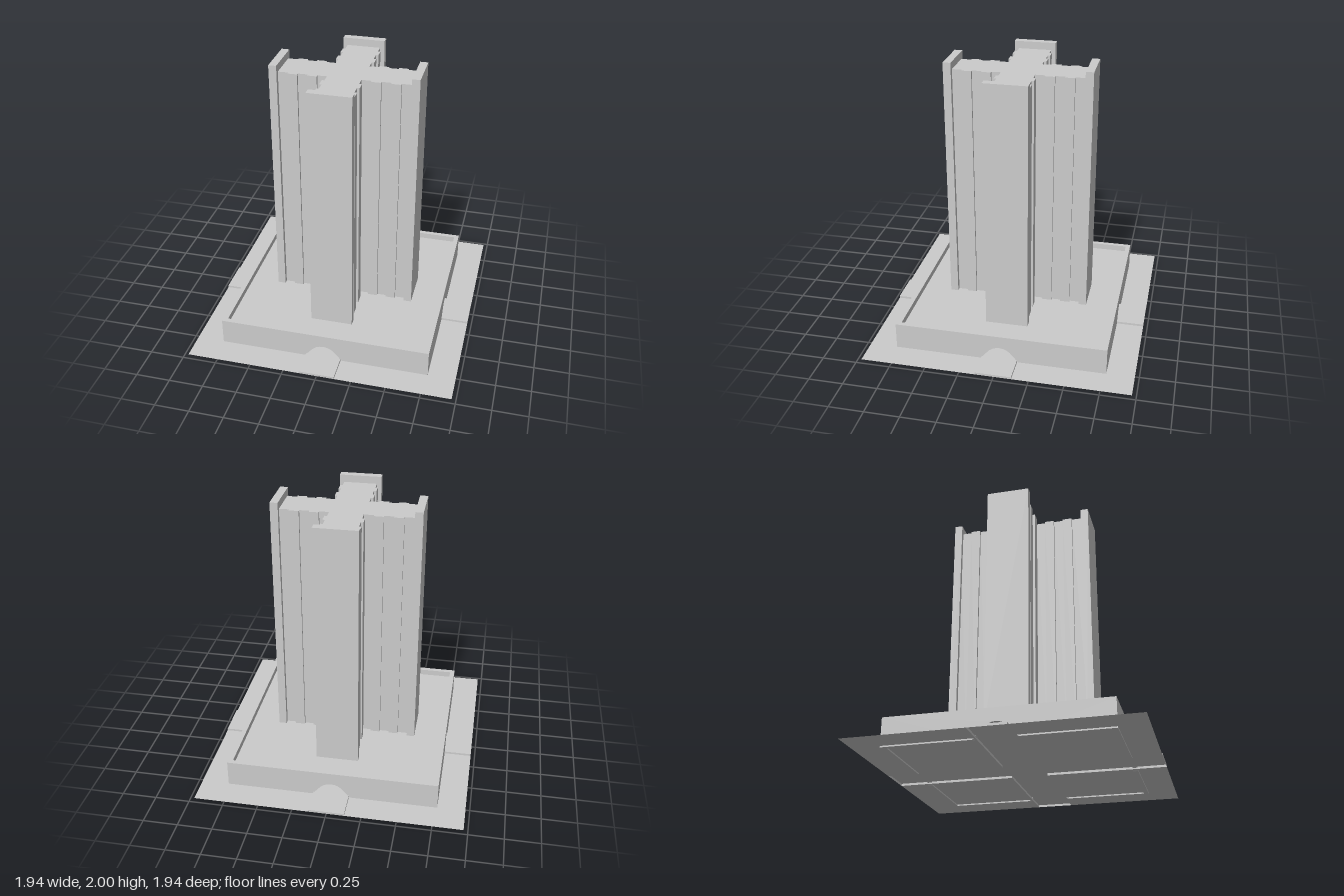
import * as THREE from 'three';

export function createModel() {
  const model = new THREE.Group();
  const solid = new THREE.MeshStandardMaterial({ color: 0xcccccc, flatShading: true });
  const sheet = new THREE.MeshStandardMaterial({ color: 0xcccccc, flatShading: true, side: THREE.DoubleSide });

  const add = (parent, name, geometry, material = solid) => {
    const mesh = new THREE.Mesh(geometry, material);
    mesh.name = name;
    parent.add(mesh);
    return mesh;
  };
  // Flat-lying shape: shape y becomes -z
  const lay = (geometry, y) => geometry.rotateX(-Math.PI / 2).translate(0, y, 0);

  const EDGE = 0.97, ROAD = 0.13, GROUND_Y = 0.01, ROAD_Y = 0.026;
  const WALL = 0.77, RIM = 0.035, WALL_TOP = 0.205, DECK_Y = 0.16;
  const TOWER_TOP = 1.945;

  // Raised crossroads sheet
  const cross = [];
  for (let i = 0; i < 4; i++) {
    for (const [x, y] of [[ROAD, -ROAD], [EDGE, -ROAD], [EDGE, ROAD]]) {
      cross.push(new THREE.Vector2(x, y).rotateAround(new THREE.Vector2(), i * Math.PI / 2));
    }
  }
  add(model, 'crossroads', lay(new THREE.ShapeGeometry(new THREE.Shape(cross)), ROAD_Y), sheet);

  // Tower core: cross plan with two ribs on each side of every arm
  const side = [[0.12, 0.122], [0.19, 0.122], [0.19, 0.14], [0.26, 0.14], [0.26, 0.122],
    [0.33, 0.122], [0.33, 0.14], [0.40, 0.14], [0.40, 0.122], [0.49, 0.122]];
  const arm = [
    ...side.map(([x, w]) => [x, -w]),
    ...side.slice(1).reverse(),
  ];
  const plan = [];
  for (let i = 0; i < 4; i++) {
    for (const [x, y] of arm) {
      plan.push(new THREE.Vector2(x, y).rotateAround(new THREE.Vector2(), i * Math.PI / 2));
    }
  }
  const core = new THREE.ExtrudeGeometry(new THREE.Shape(plan), { depth: TOWER_TOP - DECK_Y, bevelEnabled: false });
  add(model, 'towerCore', lay(core, DECK_Y));

  // Podium deck, sunk below the rim
  add(model, 'podiumDeck', lay(new THREE.PlaneGeometry(2 * (WALL - 0.01), 2 * (WALL - 0.01)), DECK_Y), sheet);

  // Podium wall with a flared archway; mitred ends meet at the corners
  const arch = [[0.15, 0], [0.125, 0.024], [0.10, 0.054], [0.075, 0.082], [0.05, 0.1], [0.025, 0.109], [0, 0.112]];
  const wallShape = new THREE.Shape();
  wallShape.moveTo(-WALL, 0);
  for (const [x, y] of arch) wallShape.lineTo(-x, y);
  for (const [x, y] of arch.slice(0, -1).reverse()) wallShape.lineTo(x, y);
  wallShape.lineTo(WALL, 0);
  wallShape.lineTo(WALL, WALL_TOP);
  wallShape.lineTo(-WALL, WALL_TOP);
  const wall = new THREE.ExtrudeGeometry(wallShape, { depth: RIM, bevelEnabled: false });
  wall.translate(0, 0, WALL - RIM);
  const p = wall.attributes.position;
  for (let i = 0; i < p.count; i++) {
    if (Math.abs(p.getX(i)) > 0.5) p.setX(i, Math.sign(p.getX(i)) * p.getZ(i));
  }
  wall.computeVertexNormals();

  // Parts repeated on the four sides
  for (let i = 0; i < 4; i++) {
    const quarter = new THREE.Group();
    quarter.name = 'quarter' + (i + 1);
    quarter.rotation.y = i * Math.PI / 2;
    model.add(quarter);

    add(quarter, 'podiumWall', wall);

    // Tall slab closing the arm of the tower
    const slab = new THREE.BoxGeometry(0.31, 2 - DECK_Y, 0.057);
    add(quarter, 'endSlab', slab.translate(0, (2 + DECK_Y) / 2, 0.5015));

    // Ground lawn with the kerbs up to the road
    const size = EDGE - ROAD, mid = (EDGE + ROAD) / 2, kerb = ROAD_Y - GROUND_Y;
    const kerbY = (ROAD_Y + GROUND_Y) / 2;
    add(quarter, 'ground', lay(new THREE.PlaneGeometry(size, size), GROUND_Y).translate(mid, 0, mid), sheet);
    add(quarter, 'kerb', new THREE.PlaneGeometry(size, kerb).translate(mid, kerbY, ROAD), sheet);
    add(quarter, 'kerb', new THREE.PlaneGeometry(size, kerb).rotateY(-Math.PI / 2).translate(ROAD, kerbY, mid), sheet);
    add(quarter, 'roadEnd', new THREE.PlaneGeometry(2 * ROAD, kerb).translate(0, kerbY, EDGE), sheet);
  }
  return model;
}
